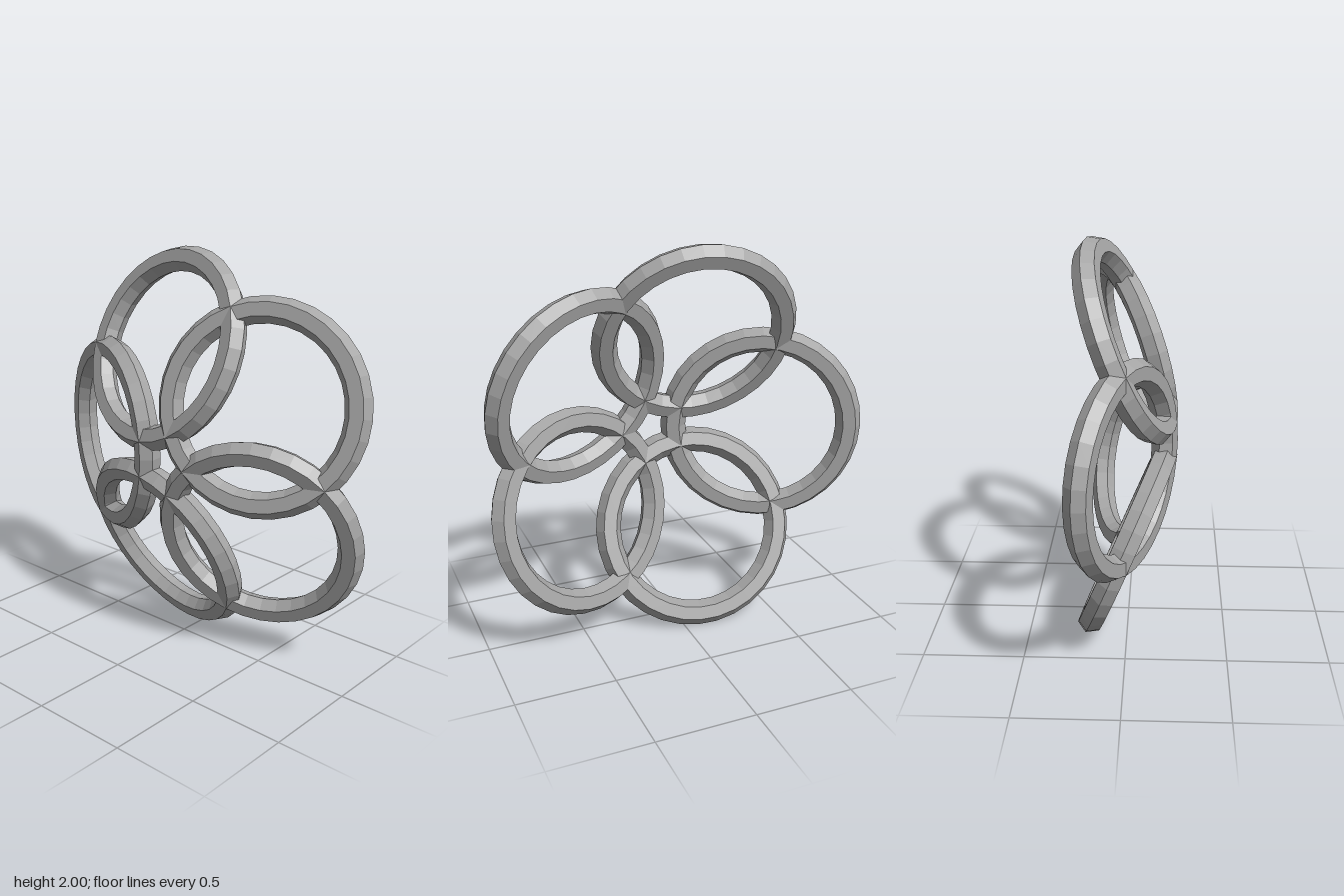
import * as THREE from 'three';

export function createModel() {
  const model = new THREE.Group();
  model.name = 'interlockedRings';

  const grey = new THREE.MeshStandardMaterial({ color: 0xa6a6a6, flatShading: true });
  grey.name = 'grey';

  const COUNT = 5;
  const ORBIT = 0.544;                          // ring centre to flower centre
  const TILT = THREE.MathUtils.degToRad(23.5);  // inner edge leans forward

  // Hexagonal-section ring shared by all petals
  const ringGeometry = new THREE.TorusGeometry(0.457, 0.065, 6, 32);

  const flower = new THREE.Group();
  flower.name = 'flower';
  flower.position.set(0.043, 1, 0);
  model.add(flower);

  // Five tilted rings around the centre, the first one on the left of the front
  for (let i = 0; i < COUNT; i++) {
    const petal = new THREE.Group();
    petal.name = `petal${i + 1}`;
    petal.rotation.z = Math.PI + (i * 2 * Math.PI) / COUNT;

    const ring = new THREE.Mesh(ringGeometry, grey);
    ring.name = `ring${i + 1}`;
    ring.position.x = ORBIT;
    ring.rotation.y = TILT;
    petal.add(ring);
    flower.add(petal);
  }

  return model;
}
